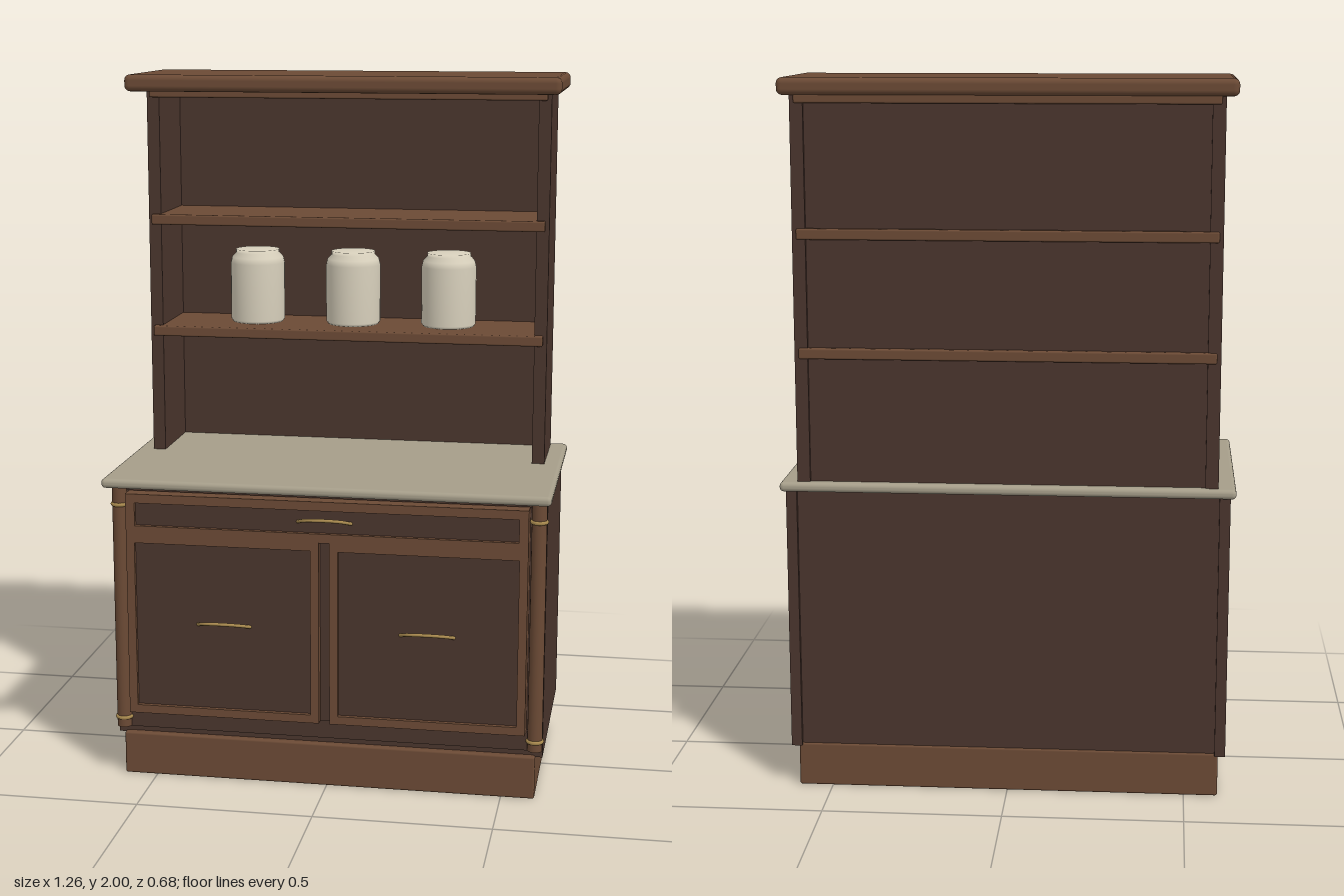
import * as THREE from 'three';
import { RoundedBoxGeometry } from 'three/addons/geometries/RoundedBoxGeometry.js';

const mat = (color) => new THREE.MeshStandardMaterial({ color });

export function createModel() {
  const model = new THREE.Group();
  const dark = mat(0x4a352d), wood = mat(0x6b4a35), stone = mat(0xa59d89);
  const ceramic = mat(0xd8d0bc), brass = mat(0xa8894e);

  const add = (name, geometry, material, x = 0, y = 0, z = 0, parent = model) => {
    const mesh = new THREE.Mesh(geometry, material);
    mesh.name = name;
    mesh.position.set(x, y, z);
    parent.add(mesh);
    return mesh;
  };
  // Box given by its limits; a radius rounds its edges
  const slab = (name, material, [x0, x1], [y0, y1], [z0, z1], radius = 0) => {
    const size = [x1 - x0, y1 - y0, z1 - z0];
    const geometry = radius ? new RoundedBoxGeometry(...size, 3, radius) : new THREE.BoxGeometry(...size);
    return add(name, geometry, material, (x0 + x1) / 2, (y0 + y1) / 2, (z0 + z1) / 2);
  };

  // Lower cabinet
  slab('plinth', wood, [-0.595, 0.595], [0, 0.125], [-0.31, 0.275], 0.006);
  slab('cabinetBody', dark, [-0.6, 0.6], [0.12, 0.87], [-0.305, 0.255]);
  for (const s of [-1, 1]) {
    const side = slab('cabinetSide', dark, [-0.015, 0.015], [0.12, 0.87], [-0.318, 0.257]);
    side.position.x = s * 0.6;
  }
  slab('bottomRail', dark, [-0.575, 0.575], [0.145, 0.2], [0.25, 0.275]);
  slab('topRail', dark, [-0.575, 0.575], [0.85, 0.87], [0.25, 0.275]);
  slab('centreStile', dark, [-0.016, 0.016], [0.2, 0.73], [0.25, 0.285]);
  slab('countertop', stone, [-0.63, 0.63], [0.868, 0.895], [-0.34, 0.34], 0.012);

  // Corner columns with brass rings
  for (const s of [-1, 1]) {
    add('cornerColumn', new THREE.CylinderGeometry(0.021, 0.021, 0.723, 20), wood, s * 0.594, 0.5085, 0.275);
    for (const y of [0.175, 0.81]) {
      const ring = add('columnRing', new THREE.TorusGeometry(0.02, 0.006, 8, 24), brass, s * 0.594, y, 0.275);
      ring.rotation.x = Math.PI / 2;
    }
  }

  // Framed fronts: a raised surround with a recessed panel
  const framedFront = (name, x0, x1, y0, y1, border) => {
    const front = new THREE.Group();
    front.name = name;
    const rect = (target, a, b, c, d) =>
      target.moveTo(a, c).lineTo(b, c).lineTo(b, d).lineTo(a, d).closePath();
    const shape = rect(new THREE.Shape(), x0, x1, y0, y1);
    shape.holes.push(rect(new THREE.Path(), x0 + border, x1 - border, y0 + border, y1 - border));
    add(name + 'Frame', new THREE.ExtrudeGeometry(shape, { depth: 0.055, bevelEnabled: false }), wood, 0, 0, 0.255, front);
    const panel = new THREE.BoxGeometry(x1 - x0 - border, y1 - y0 - border, 0.04);
    add(name + 'Panel', panel, dark, (x0 + x1) / 2, (y0 + y1) / 2, 0.277, front);
    model.add(front);
  };
  framedFront('drawer', -0.568, 0.568, 0.73, 0.848, 0.026);
  framedFront('rightDoor', -0.568, -0.015, 0.2, 0.73, 0.024);
  framedFront('leftDoor', 0.015, 0.568, 0.2, 0.73, 0.024);

  // Bowed brass handles
  const bow = new THREE.CatmullRomCurve3([
    [-0.076, -0.009, -0.016], [-0.05, 0.003, 0.015], [-0.025, 0.006, 0.022],
    [0.025, 0.006, 0.022], [0.05, 0.003, 0.015], [0.076, -0.009, -0.016],
  ].map((p) => new THREE.Vector3(...p)));
  const handle = new THREE.TubeGeometry(bow, 28, 0.005, 8);
  for (const [x, y] of [[0, 0.795], [-0.29, 0.48], [0.29, 0.48]]) add('handle', handle, brass, x, y, 0.313);

  // Upper hutch: sides, back, shelves and cornice
  for (const s of [-1, 1]) {
    const side = slab('hutchSide', dark, [-0.018, 0.018], [0.89, 1.96], [-0.322, -0.055]);
    side.position.x = s * 0.563;
  }
  slab('hutchBack', dark, [-0.55, 0.55], [0.89, 1.96], [-0.312, -0.295]);
  for (const [y0, y1] of [[1.24, 1.27], [1.567, 1.597], [1.932, 1.957]]) {
    slab('shelf', wood, [-0.57, 0.57], [y0, y1], [-0.328, -0.036], 0.005);
  }
  slab('cornice', wood, [-0.615, 0.615], [1.953, 2], [-0.338, 0.07], 0.016);

  // Jars on the lower shelf
  const profile = [[0, 0], [0.074, 0], [0.08, 0.008], [0.08, 0.175], [0.076, 0.192], [0.064, 0.205], [0.064, 0.215], [0, 0.215]]
    .map(([r, y]) => new THREE.Vector2(r, y));
  const jar = new THREE.LatheGeometry(profile, 32);
  for (const x of [-0.287, 0, 0.283]) add('jar', jar, ceramic, x, 1.27, -0.185);

  return model;
}
